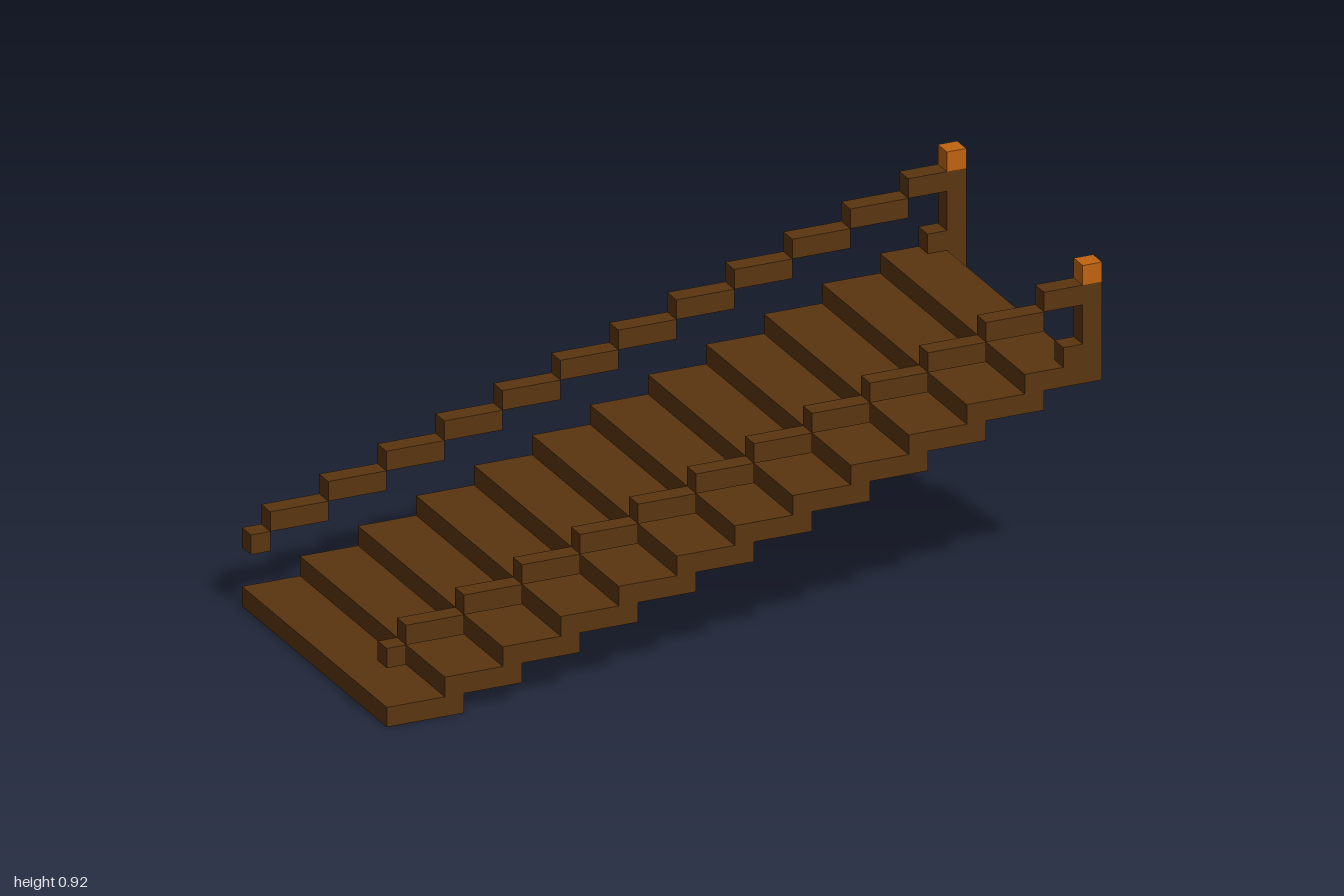
import * as THREE from 'three';

// Everything sits on a cubic grid: 37 cells long, 17 high, 16 deep
const U = 2 / 37;
const LENGTH = 37, DEPTH = 16, STEPS = 12;

const wood = new THREE.MeshStandardMaterial({ color: 0x5a350f });
wood.name = 'dark wood';
const orange = new THREE.MeshStandardMaterial({ color: 0xbf630f });
orange.name = 'orange cap';

// Box between two grid corners
function block(name, material, [x0, y0, z0], [x1, y1, z1]) {
  const geometry = new THREE.BoxGeometry((x1 - x0) * U, (y1 - y0) * U, (z1 - z0) * U);
  const mesh = new THREE.Mesh(geometry, material);
  mesh.name = name;
  mesh.position.set(
    ((x0 + x1 - LENGTH) / 2) * U,
    ((y0 + y1) / 2) * U,
    ((z0 + z1 - DEPTH) / 2) * U
  );
  return mesh;
}

// Overlapping treads climbing towards +x
function createTreads() {
  const treads = new THREE.Group();
  treads.name = 'treads';
  for (let k = 0; k < STEPS; k++) {
    const end = Math.min(3 * k + 4, LENGTH - 1);
    treads.add(block('tread', wood, [3 * k, k, 0], [end, k + 1, DEPTH]));
  }
  return treads;
}

// Stepped handrail with a capped post at the top; z is its grid row
function createRailing(name, z) {
  const railing = new THREE.Group();
  railing.name = name;
  for (let k = 0; k <= STEPS; k++) {
    const start = Math.max(3 * k - 2, 0);
    const end = Math.min(3 * k + 1, LENGTH - 1);
    railing.add(block('handrail', wood, [start, k + 3, z], [end, k + 4, z + 1]));
  }
  railing.add(block('post', wood, [36, 11, z], [37, 16, z + 1]));
  railing.add(block('postCap', orange, [36, 16, z], [37, 17, z + 1]));
  railing.add(block('postFoot', wood, [35, 12, z], [36, 13, z + 1]));
  return railing;
}

export function createModel() {
  const model = new THREE.Group();
  model.name = 'staircase';
  model.add(
    createTreads(),
    createRailing('frontRailing', DEPTH - 1),
    createRailing('backRailing', 0)
  );
  return model;
}
